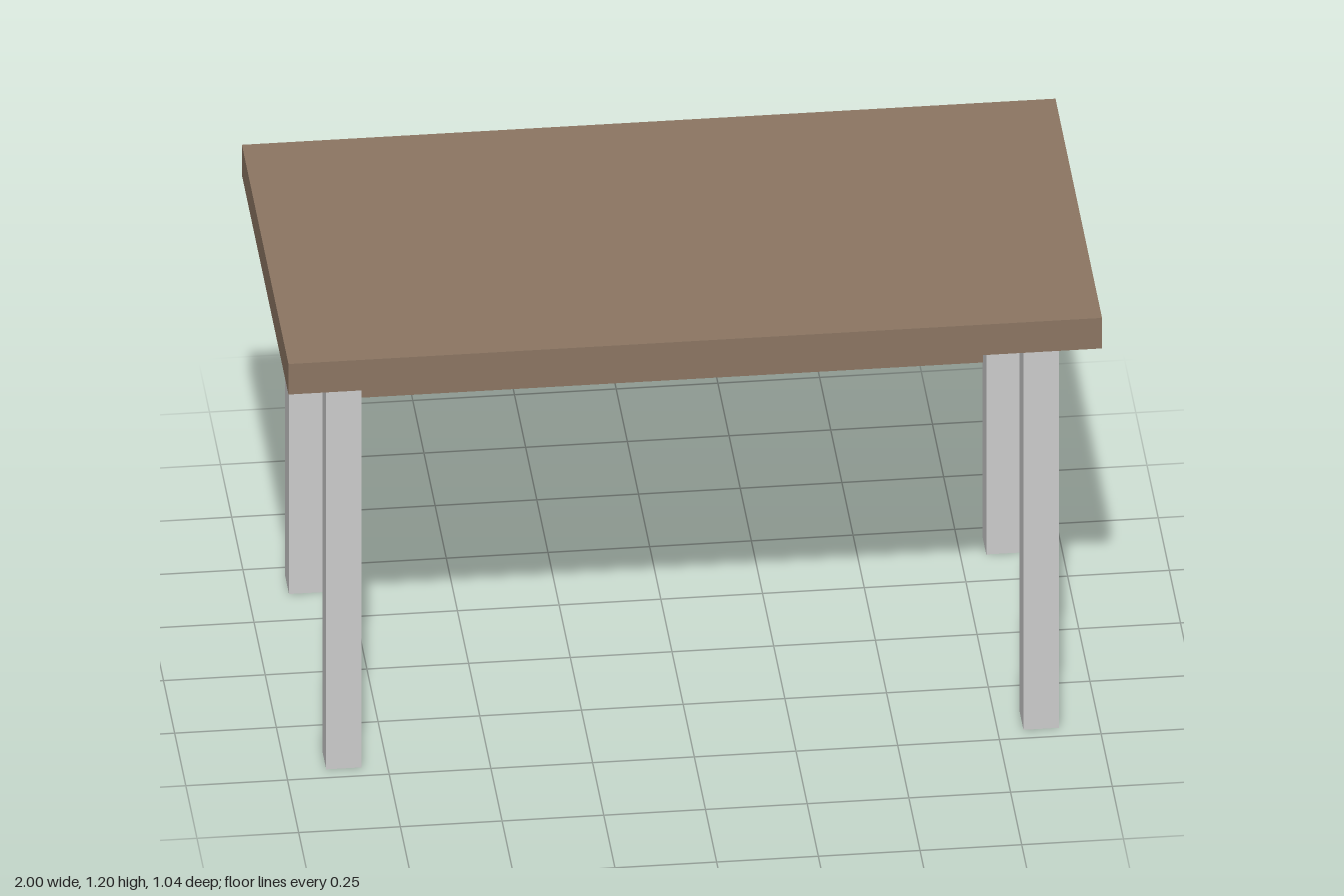
import * as THREE from 'three';

export function createModel() {
  const desk = new THREE.Group();
  desk.name = 'desk';

  const wood = new THREE.MeshStandardMaterial({ color: 0x8b7562 });
  const metal = new THREE.MeshStandardMaterial({ color: 0xcccccc });

  const addBox = (name, material, [w, h, d], [x, y, z]) => {
    const mesh = new THREE.Mesh(new THREE.BoxGeometry(w, h, d), material);
    mesh.name = name;
    mesh.position.set(x, y, z);
    desk.add(mesh);
  };

  // Table top
  const height = 1.2, topThickness = 0.087;
  const legHeight = height - topThickness;
  addBox('tableTop', wood, [2, topThickness, 1.043], [0, height - topThickness / 2, 0]);

  // Four square legs, inset from the edges
  const legWidth = 0.087;
  for (const [side, x] of [['Left', 0.857], ['Right', -0.857]]) {
    for (const [end, z] of [['front', 0.417], ['back', -0.417]]) {
      addBox(`${end}${side}Leg`, metal, [legWidth, legHeight, legWidth], [x, legHeight / 2, z]);
    }
  }

  // Modesty panel between the back legs
  addBox('modestyPanel', wood, [1.6, 0.45, 0.05], [0, 0.803, -0.35]);

  return desk;
}
